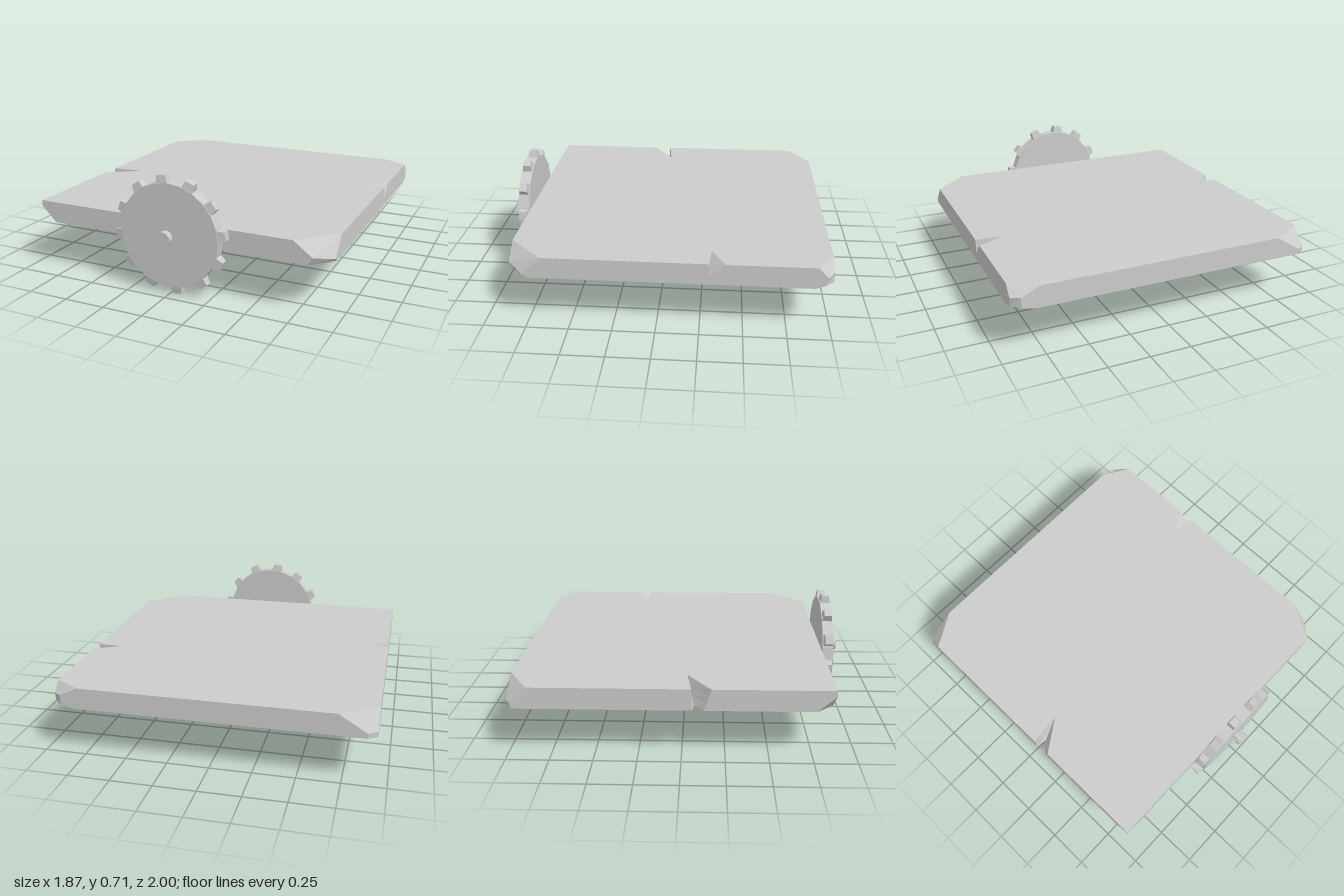
import * as THREE from 'three';

const material = new THREE.MeshStandardMaterial({ color: 0xcccccc, flatShading: true });

const TOP = 0.42, BOT = 0.29;
const L = -0.935, R = 0.93, F = 0.865, B = -1;

// Slab outline, counter-clockwise from above. Each entry is a vertical chain
// of four points [x, y, z]: bottom, lower middle, upper middle, top.
const chain = (bottom, low, high, top) => [bottom, low, high, top];
const slabChains = [
  // front left corner, chipped underneath
  chain([L, BOT, 0.76], [L, 0.385, F], [L, 0.385, F], [L, TOP, F]),
  chain([-0.84, BOT, F], [L, 0.385, F], [L, 0.385, F], [L, TOP, F]),
  // front right corner, chipped above and below
  chain([0.8, BOT, F], [0.835, 0.335, F], [0.835, 0.335, F], [0.72, TOP, F]),
  chain([R, BOT, 0.735], [R, 0.31, 0.765], [R, 0.31, 0.765], [R, TOP, 0.655]),
  // shallow nick in the right edge, closing to a point
  ...[[R, TOP, -0.3], [0.77, TOP, -0.31], [R, TOP, -0.39]].map((top) =>
    chain([R, BOT, -0.3], [R, 0.34, -0.3], [R, 0.34, -0.3], top)),
  // back right corner
  chain([R, BOT, -0.89], [R, 0.31, -0.95], [R, 0.36, -0.96], [R, TOP, -0.905]),
  chain([0.8, BOT, B], [0.88, 0.31, B], [0.88, 0.37, B], [0.77, TOP, B]),
  // back left corner
  chain([-0.88, BOT, B], [-0.88, 0.3, B], [-0.88, 0.32, B], [-0.72, TOP, B]),
  chain([L, BOT, -0.965], [L, 0.3, -0.965], [L, 0.32, -0.965], [L, TOP, -0.87]),
  // deep nick through the left edge
  ...[[[L, 0.06], [L, 0.055]], [[-0.87, 0.068], [-0.73, 0.03]], [[L, 0.125], [L, 0.17]]].map(([b, t]) => {
    const at = (k) => [b[0] + (t[0] - b[0]) * k, BOT + (TOP - BOT) * k, b[1] + (t[1] - b[1]) * k];
    return chain(at(0), at(1 / 3), at(2 / 3), at(1));
  }),
];

function slabGeometry() {
  const positions = [];
  const area = new THREE.Triangle();
  const tri = (a, b, c) => {
    area.set(new THREE.Vector3(...a), new THREE.Vector3(...b), new THREE.Vector3(...c));
    if (area.getArea() > 1e-7) positions.push(...a, ...b, ...c);
  };
  // side walls
  slabChains.forEach((p, i) => {
    const q = slabChains[(i + 1) % slabChains.length];
    for (let k = 0; k < 3; k++) {
      tri(p[k], q[k], q[k + 1]);
      tri(p[k], q[k + 1], p[k + 1]);
    }
  });
  // top and bottom faces
  for (const [level, up] of [[3, 1], [0, -1]]) {
    const ring = slabChains.map((c) => c[level])
      .filter((p, i, all) => i === 0 || p.some((v, j) => v !== all[i - 1][j]));
    const flat = ring.map(([x, , z]) => new THREE.Vector2(x, -z));
    for (const [a, b, c] of THREE.ShapeUtils.triangulateShape(flat, [])) {
      const turn = THREE.ShapeUtils.area([flat[a], flat[b], flat[c]]);
      if (turn * up > 0) tri(ring[a], ring[b], ring[c]);
      else tri(ring[a], ring[c], ring[b]);
    }
  }
  const geometry = new THREE.BufferGeometry();
  geometry.setAttribute('position', new THREE.Float32BufferAttribute(positions, 3));
  geometry.computeVertexNormals();
  return geometry;
}

function addMesh(parent, name, geometry) {
  const mesh = new THREE.Mesh(geometry, material);
  mesh.name = name;
  parent.add(mesh);
  return mesh;
}

// Cylinder lying along z between two depths
function disc(radius, z0, z1, sides) {
  return new THREE.CylinderGeometry(radius, radius, z1 - z0, sides)
    .rotateX(Math.PI / 2).translate(0, 0, (z0 + z1) / 2);
}

// Block tapering towards its outer end on all four sides
function toothGeometry() {
  const geometry = new THREE.BoxGeometry(0.084, 0.075, 0.07);
  const p = geometry.attributes.position;
  for (let i = 0; i < p.count; i++) {
    if (p.getY(i) > 0) p.setXYZ(i, p.getX(i) * 0.64, p.getY(i), p.getZ(i) * 0.64);
  }
  geometry.computeVertexNormals();
  return geometry.translate(0, 0.316, 0.905);
}

export function createModel() {
  const model = new THREE.Group();
  model.name = 'slabWithCogWheel';
  addMesh(model, 'slab', slabGeometry());

  const wheel = new THREE.Group();
  wheel.name = 'cogWheel';
  wheel.position.y = 0.355;
  model.add(wheel);
  addMesh(wheel, 'wheelDisc', disc(0.312, 0.87, 0.94, 24));
  addMesh(wheel, 'axle', disc(0.026, 0.85, 0.965, 12));
  addMesh(wheel, 'axleCap', disc(0.043, 0.963, 1, 12));

  // twelve teeth around the rim
  const tooth = toothGeometry();
  for (let i = 0; i < 12; i++) {
    addMesh(wheel, 'tooth', tooth).rotation.z = THREE.MathUtils.degToRad(7 + i * 30);
  }
  return model;
}
